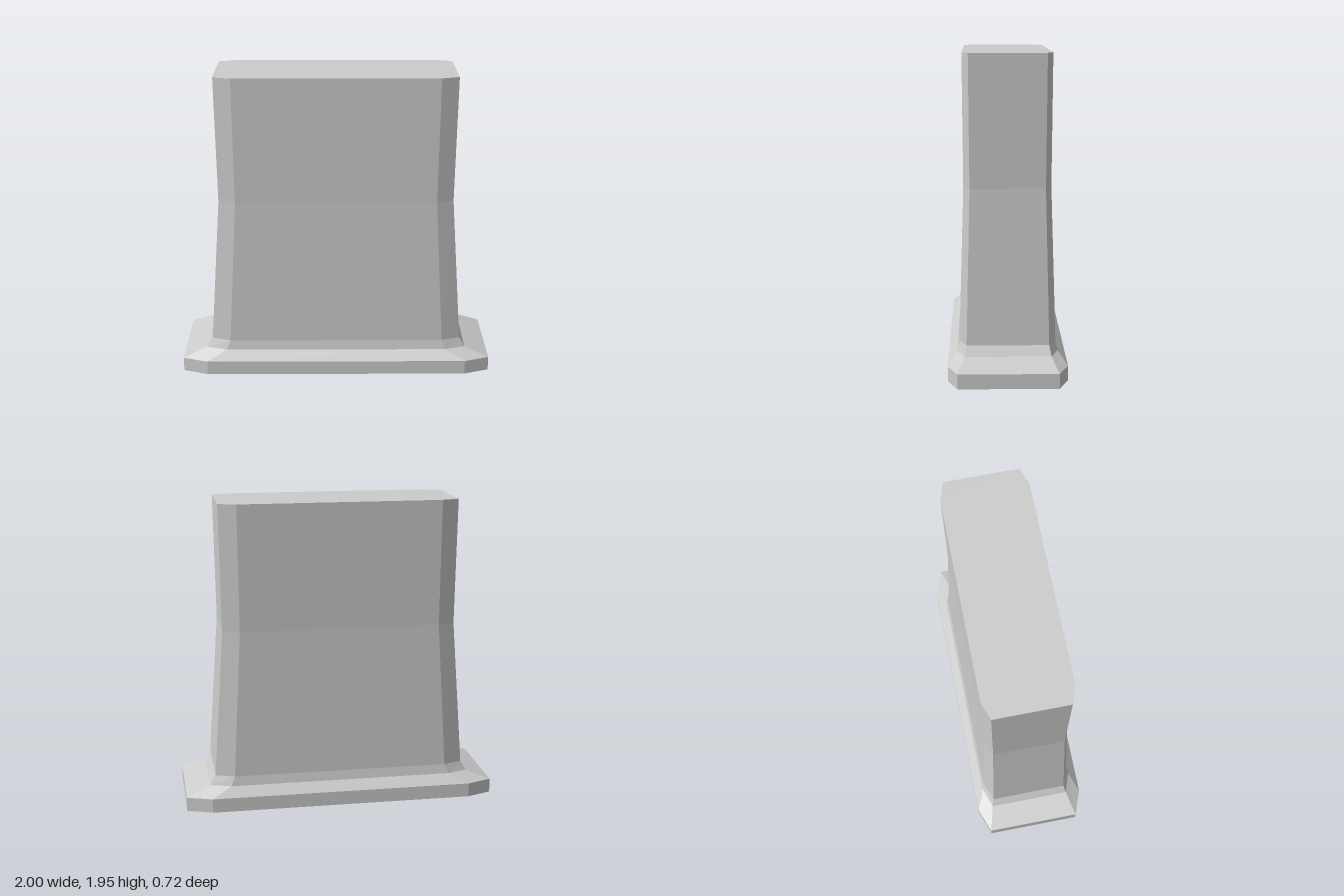
import * as THREE from 'three';

// Each section: height, half width, half depth, and where the corner chamfer starts on x and z
const SECTIONS = [
  { y: 0.0, x: 1.0, z: 0.36, cx: 0.84, cz: 0.3 },
  { y: 0.09, x: 1.0, z: 0.36, cx: 0.84, cz: 0.3 },
  { y: 0.15, x: 0.845, z: 0.305, cx: 0.715, cz: 0.26 },
  { y: 0.21, x: 0.81, z: 0.292, cx: 0.69, cz: 0.248 },
  { y: 1.15, x: 0.745, z: 0.265, cx: 0.638, cz: 0.227 },
  { y: 1.95, x: 0.757, z: 0.272, cx: 0.645, cz: 0.233 },
];

// Chamfered rectangle, anticlockwise as seen from above
function ring({ y, x, z, cx, cz }) {
  return [
    [x, y, cz], [x, y, -cz], [cx, y, -z], [-cx, y, -z],
    [-x, y, -cz], [-x, y, cz], [-cx, y, z], [cx, y, z],
  ];
}

// Flat-faceted skin through the sections, with optional end caps
function loft(sections, { bottom = false, top = false } = {}) {
  const rings = sections.map(ring);
  const pos = [];
  const tri = (a, b, c) => pos.push(...a, ...b, ...c);
  for (let s = 0; s < rings.length - 1; s++) {
    const lo = rings[s], hi = rings[s + 1];
    for (let i = 0; i < 8; i++) {
      const j = (i + 1) % 8;
      tri(lo[i], lo[j], hi[j]);
      tri(lo[i], hi[j], hi[i]);
    }
  }
  const first = rings[0], last = rings[rings.length - 1];
  for (let i = 1; i < 7; i++) {
    if (bottom) tri(first[0], first[i + 1], first[i]);
    if (top) tri(last[0], last[i], last[i + 1]);
  }
  const geo = new THREE.BufferGeometry();
  geo.setAttribute('position', new THREE.Float32BufferAttribute(pos, 3));
  geo.computeVertexNormals();
  return geo;
}

export function createModel() {
  const group = new THREE.Group();
  group.name = 'pillar';
  const stone = new THREE.MeshStandardMaterial({ color: 0xcccccc });
  stone.name = 'light grey stone';

  const add = (name, geo) => {
    const mesh = new THREE.Mesh(geo, stone);
    mesh.name = name;
    group.add(mesh);
  };

  // Flat foot slab, sloping skirt above it, and the slightly waisted shaft
  add('footSlab', loft(SECTIONS.slice(0, 2), { bottom: true }));
  add('skirt', loft(SECTIONS.slice(1, 4)));
  add('shaft', loft(SECTIONS.slice(3), { top: true }));
  return group;
}
